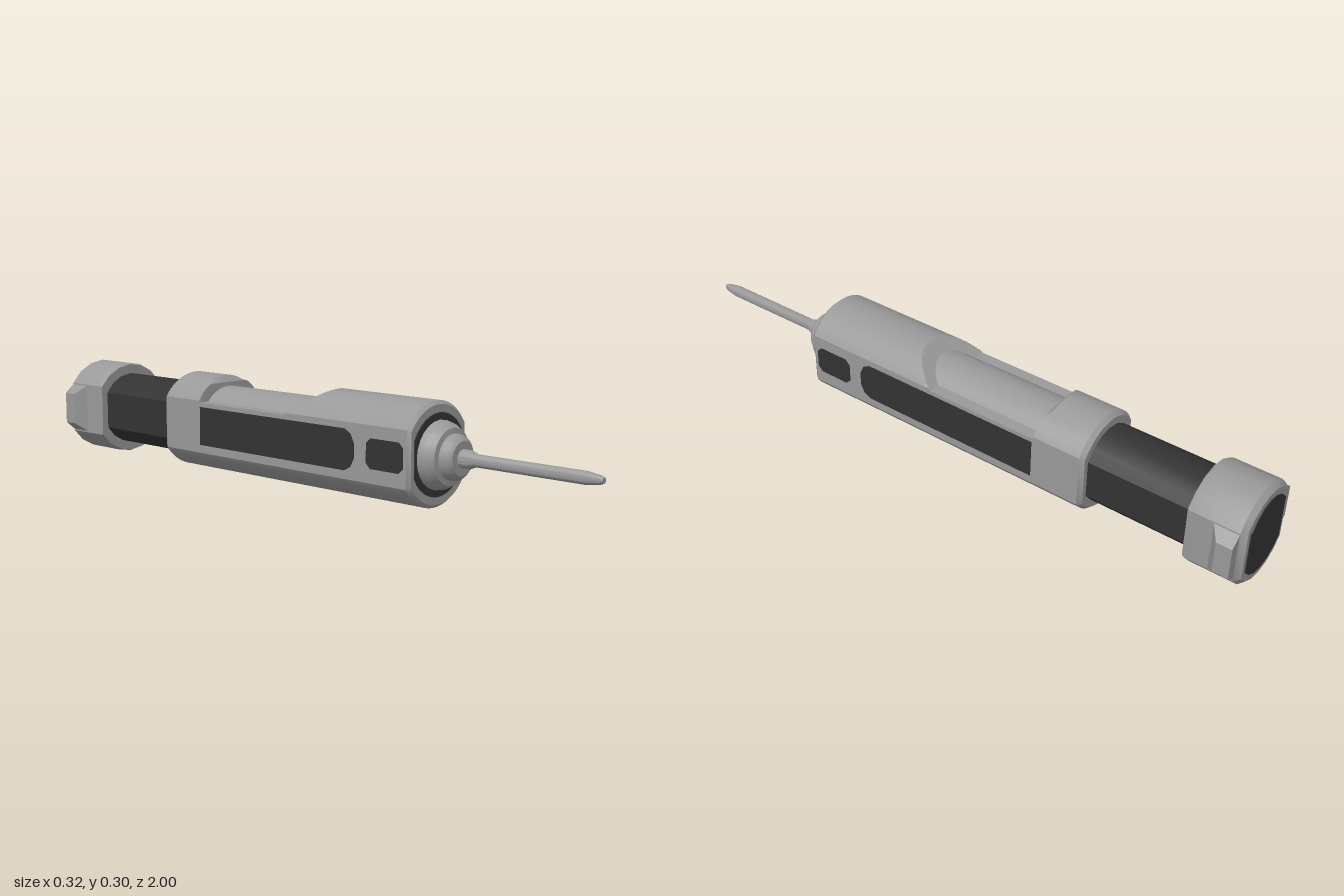
import * as THREE from 'three';
import { toCreasedNormals } from 'three/addons/utils/BufferGeometryUtils.js';

// Ring of a circle with radius r whose sides are cut flat at x = +-w and whose top is cut at y = h
function ring([z, r, w, h = 1], steps) {
  const c = Math.acos(w / r), pts = [];
  for (const start of [c, Math.PI + c]) {
    for (let i = 0; i <= steps; i++) {
      const a = start + (i / steps) * (Math.PI - 2 * c);
      pts.push([r * Math.cos(a), Math.min(r * Math.sin(a), h), z]);
    }
  }
  return pts;
}

// Closed skin over rings listed from back (-z) to front (+z)
function loft(sections, steps = 6) {
  const rings = sections.map((s) => ring(s, steps));
  const n = rings[0].length, last = rings.length - 1;
  const pos = rings.flat(2), idx = [];
  for (let i = 0; i < last; i++) {
    for (let j = 0; j < n; j++) {
      const k = (j + 1) % n, a = i * n, b = a + n;
      idx.push(a + j, a + k, b + k, a + j, b + k, b + j);
    }
  }
  const back = pos.length / 3;
  pos.push(0, 0, sections[0][0], 0, 0, sections[last][0]);
  for (let j = 0; j < n; j++) {
    const k = (j + 1) % n;
    idx.push(back, k, j, back + 1, last * n + j, last * n + k);
  }
  const g = new THREE.BufferGeometry();
  g.setAttribute('position', new THREE.Float32BufferAttribute(pos, 3));
  g.setIndex(idx);
  return toCreasedNormals(g, 0.55);
}

// Thin side plate from an outline of [z, y] points
function plate(outline) {
  const shape = new THREE.Shape(outline.map(([z, y]) => new THREE.Vector2(-z, y)));
  const g = new THREE.ExtrudeGeometry(shape, { depth: 0.006, bevelEnabled: false });
  return g.translate(0, 0, -0.003).rotateY(Math.PI / 2);
}

export function createModel() {
  const grey = new THREE.MeshStandardMaterial({ color: 0x999999 });
  grey.name = 'grey casing';
  const dark = new THREE.MeshStandardMaterial({ color: 0x333333 });
  dark.name = 'dark grip';
  const model = new THREE.Group();
  const add = (name, geometry, material) => {
    const m = new THREE.Mesh(geometry, material);
    m.name = name;
    m.position.y = 0.15;
    model.add(m);
    return m;
  };

  // Main casing with the open window on top and a sloped front edge
  const casing = [
    [-0.51, 0.138, 0.116], [-0.497, 0.149, 0.125], [-0.362, 0.149, 0.125],
    [-0.345, 0.149, 0.125, 0.128], [-0.343, 0.149, 0.125, 0.075],
  ];
  for (let i = 0; i <= 20; i++) {
    const t = i / 20;
    casing.push([0.02 + 0.1 * t, 0.149, 0.125, 0.075 + 0.075 * t]);
  }
  casing.push([0.475, 0.149, 0.125], [0.486, 0.139, 0.117]);
  add('casing', loft(casing, 28), grey);

  // Inner barrel showing through the window
  add('innerBarrel', loft([[-0.4, 0.116, 0.098], [0.15, 0.116, 0.098]], 12), grey);

  // Rear grip and end cap
  add('grip', loft([[-0.85, 0.116, 0.1], [-0.5, 0.116, 0.1]]), dark);
  add('endCap', loft([
    [-0.997, 0.135, 0.108], [-0.982, 0.15, 0.126],
    [-0.84, 0.15, 0.126], [-0.83, 0.146, 0.122],
  ]), grey);
  add('endCapPad', loft([[-1, 0.115, 0.093], [-0.995, 0.115, 0.093]]), dark);

  // Tapered wings on the cap
  for (const side of [1, -1]) {
    const g = new THREE.BoxGeometry(0.048, 1, 1);
    const p = g.attributes.position;
    for (let i = 0; i < p.count; i++) {
      const outer = p.getX(i) * side > 0;
      p.setY(i, Math.sign(p.getY(i)) * (outer ? 0.05 : 0.09));
      p.setZ(i, p.getZ(i) > 0 ? (outer ? -0.935 : -0.895) : -0.982);
    }
    g.translate(side * 0.134, 0, 0);
    add(side > 0 ? 'leftWing' : 'rightWing', toCreasedNormals(g, 0.3), grey);
  }

  // Dark plates on both flat sides
  const longPlate = plate([
    [-0.34, -0.056], [0.255, -0.056], [0.277, -0.044], [0.29, -0.018],
    [0.29, 0.024], [0.277, 0.05], [0.255, 0.062], [-0.34, 0.062],
  ]);
  const shortPlate = plate([
    [0.335, -0.025], [0.35, -0.04], [0.45, -0.04], [0.465, -0.025],
    [0.465, 0.03], [0.45, 0.045], [0.35, 0.045], [0.335, 0.03],
  ]);
  for (const side of [1, -1]) {
    const word = side > 0 ? 'left' : 'right';
    add(word + 'LongPlate', longPlate, dark).position.x = side * 0.124;
    add(word + 'ShortPlate', shortPlate, dark).position.x = side * 0.124;
  }

  // Front ring, stepped nose and needle
  add('frontRing', loft([[0.482, 0.117, 0.105], [0.489, 0.117, 0.105]], 12), dark);
  const lathe = (points, sides) => toCreasedNormals(
    new THREE.LatheGeometry(points.map(([r, z]) => new THREE.Vector2(r, z)), sides).rotateX(Math.PI / 2), 0.6);
  add('nose', lathe([
    [0.097, 0.48], [0.097, 0.495], [0.092, 0.515], [0.08, 0.534], [0.064, 0.536],
    [0.064, 0.55], [0.06, 0.56], [0.048, 0.57], [0, 0.57],
  ], 24), grey);
  add('needle', lathe([
    [0.026, 0.56], [0.026, 0.595], [0.018, 0.615], [0.018, 0.95],
    [0.012, 0.99], [0.008, 1], [0, 1],
  ], 16), grey);
  return model;
}
